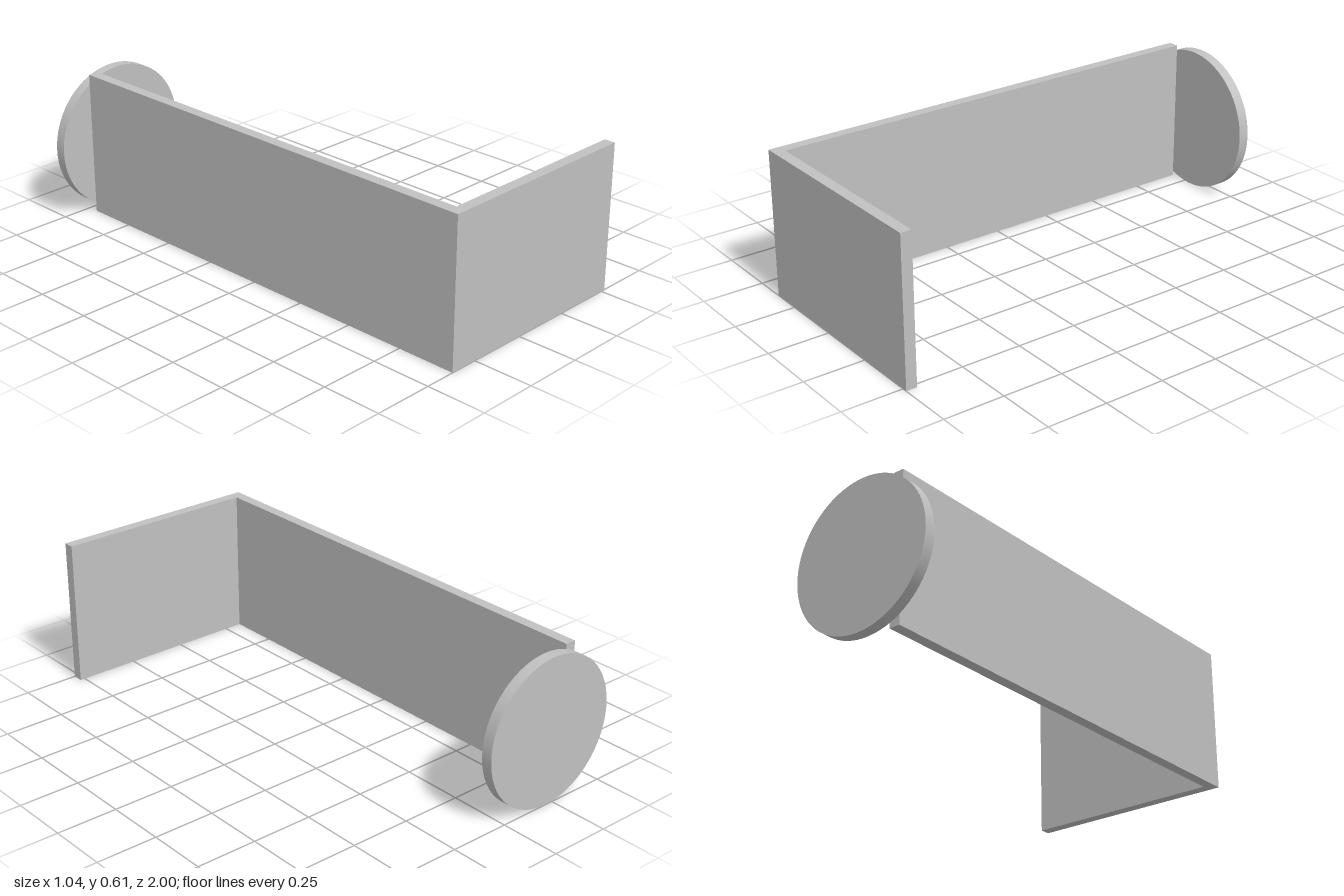
import * as THREE from 'three';

export function createModel() {
  const group = new THREE.Group();
  const grey = new THREE.MeshStandardMaterial({ color: 0xc0c0c0 });
  grey.name = 'light grey';

  const height = 0.605, thick = 0.045, radius = height / 2;
  const left = -0.37, right = 0.52;

  // L-shaped plate: long arm with a front flange, extruded upward
  const outline = new THREE.Shape([
    [left, -1], [right, -1], [right, -1 + thick],
    [left + thick, -1 + thick], [left + thick, 1 - thick], [left, 1 - thick],
  ].map(([x, y]) => new THREE.Vector2(x, y)));
  const plate = new THREE.ExtrudeGeometry(outline, { depth: height, bevelEnabled: false });
  plate.rotateX(-Math.PI / 2);
  const bracket = new THREE.Mesh(plate, grey);
  bracket.name = 'angledBracket';
  group.add(bracket);

  // Round end plate closing the back of the arm
  const disc = new THREE.CylinderGeometry(radius, radius, thick, 96);
  disc.rotateX(Math.PI / 2);
  const endDisc = new THREE.Mesh(disc, grey);
  endDisc.name = 'endDisc';
  endDisc.position.set(-right + radius, radius, -1 + thick / 2);
  group.add(endDisc);

  return group;
}
